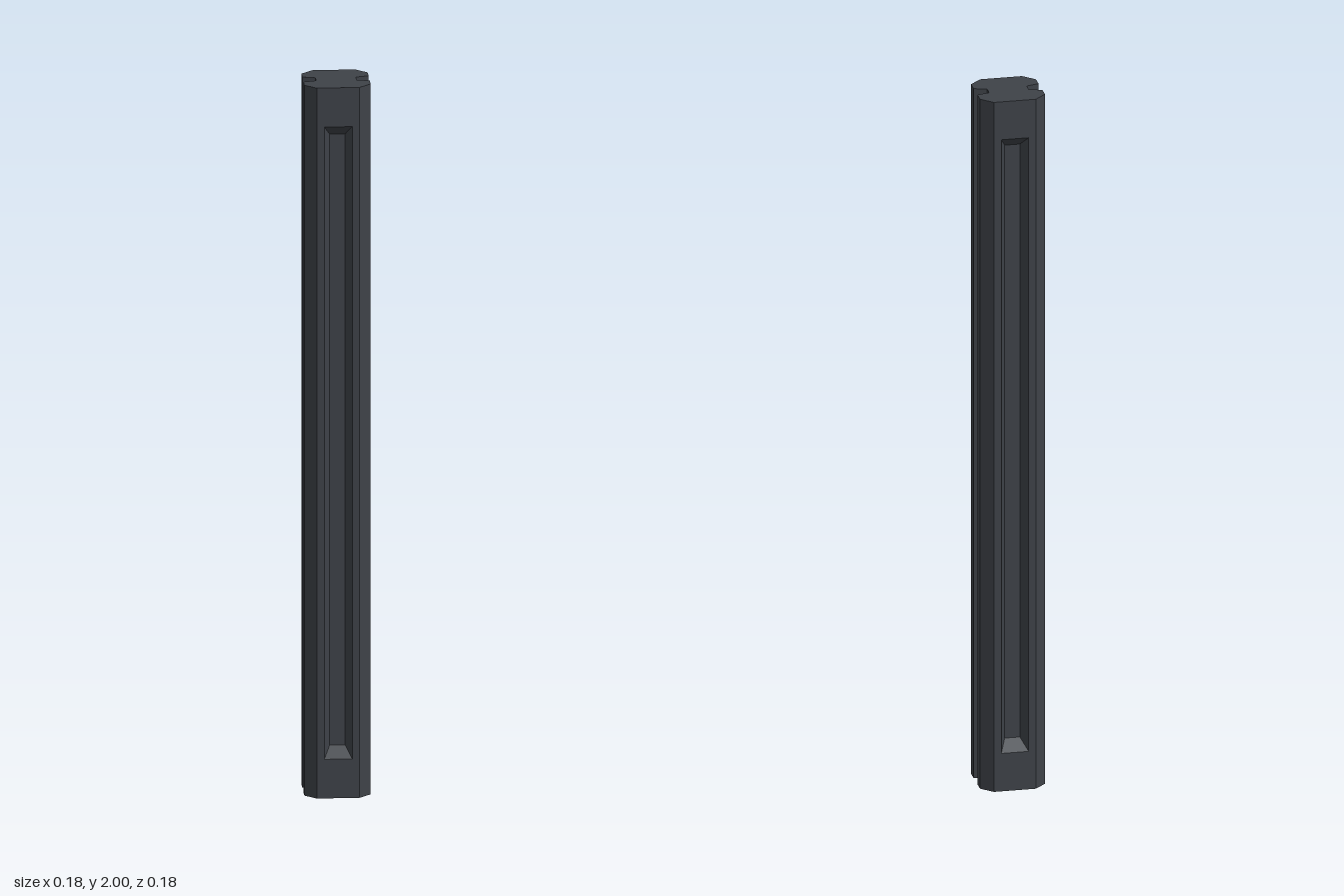
import * as THREE from 'three';

const H = 2;       // post height
const R = 0.09;    // half width
const C = 0.058;   // start of the corner chamfers
const FLOOR = 0.055; // distance of groove and recess floors from the axis

// One side of the cross-section as [x, z], from front to back, with its groove
const SIDE = [[C, R], [R, C], [R, 0.024], [FLOOR, 0.014],
  [FLOOR, -0.014], [R, -0.024], [R, -C], [C, -R]];

// Flat-faced geometry from four-cornered faces, counter-clockwise from outside
function quads(list) {
  const pos = [];
  for (const [a, b, c, d] of list) pos.push(...a, ...b, ...c, ...a, ...c, ...d);
  const g = new THREE.BufferGeometry();
  g.setAttribute('position', new THREE.Float32BufferAttribute(pos, 3));
  g.computeVertexNormals();
  return g;
}

// Corners of an upright rectangle, counter-clockwise from the front
const rect = (w, y0, y1, z) => [[-w, y0, z], [w, y0, z], [w, y1, z], [-w, y1, z]];

export function createModel() {
  const model = new THREE.Group();
  model.name = 'groovedPost';
  const charcoal = new THREE.MeshStandardMaterial({ color: 0x3e4248 });
  charcoal.name = 'charcoal';
  const add = (name, geometry, turn = 0) => {
    const mesh = new THREE.Mesh(geometry, charcoal);
    mesh.name = name;
    mesh.rotation.y = turn;
    model.add(mesh);
    return mesh;
  };

  // Chamfered sides with a full-length tapered groove
  const walls = [];
  for (let i = 0; i < SIDE.length - 1; i++) {
    const [ax, az] = SIDE[i], [bx, bz] = SIDE[i + 1];
    walls.push([[ax, 0, az], [bx, 0, bz], [bx, H, bz], [ax, H, az]]);
  }
  const wallGeometry = quads(walls);
  add('leftGroovedSide', wallGeometry);
  add('rightGroovedSide', wallGeometry, Math.PI);

  // Front and back faces with a long bevelled recess
  const face = rect(C, 0, H, R);
  const rim = rect(0.038, 0.11, 1.89, R);
  const floor = rect(0.021, 0.14, 1.86, FLOOR);
  const frameQuads = [], recessQuads = [floor];
  for (let i = 0; i < 4; i++) {
    const j = (i + 1) % 4;
    frameQuads.push([face[i], face[j], rim[j], rim[i]]);
    recessQuads.push([rim[i], rim[j], floor[j], floor[i]]);
  }
  const frame = quads(frameQuads), recess = quads(recessQuads);
  for (const [name, turn] of [['front', 0], ['back', Math.PI]]) {
    add(name + 'Frame', frame, turn);
    add(name + 'Recess', recess, turn);
  }

  // End caps
  const outline = [...SIDE, ...SIDE.map(([x, z]) => [-x, -z])];
  const shape = new THREE.Shape(outline.map(([x, z]) => new THREE.Vector2(x, -z)));
  add('topCap', new THREE.ShapeGeometry(shape).rotateX(-Math.PI / 2)).position.y = H;
  add('bottomCap', new THREE.ShapeGeometry(shape).rotateX(Math.PI / 2));

  return model;
}
